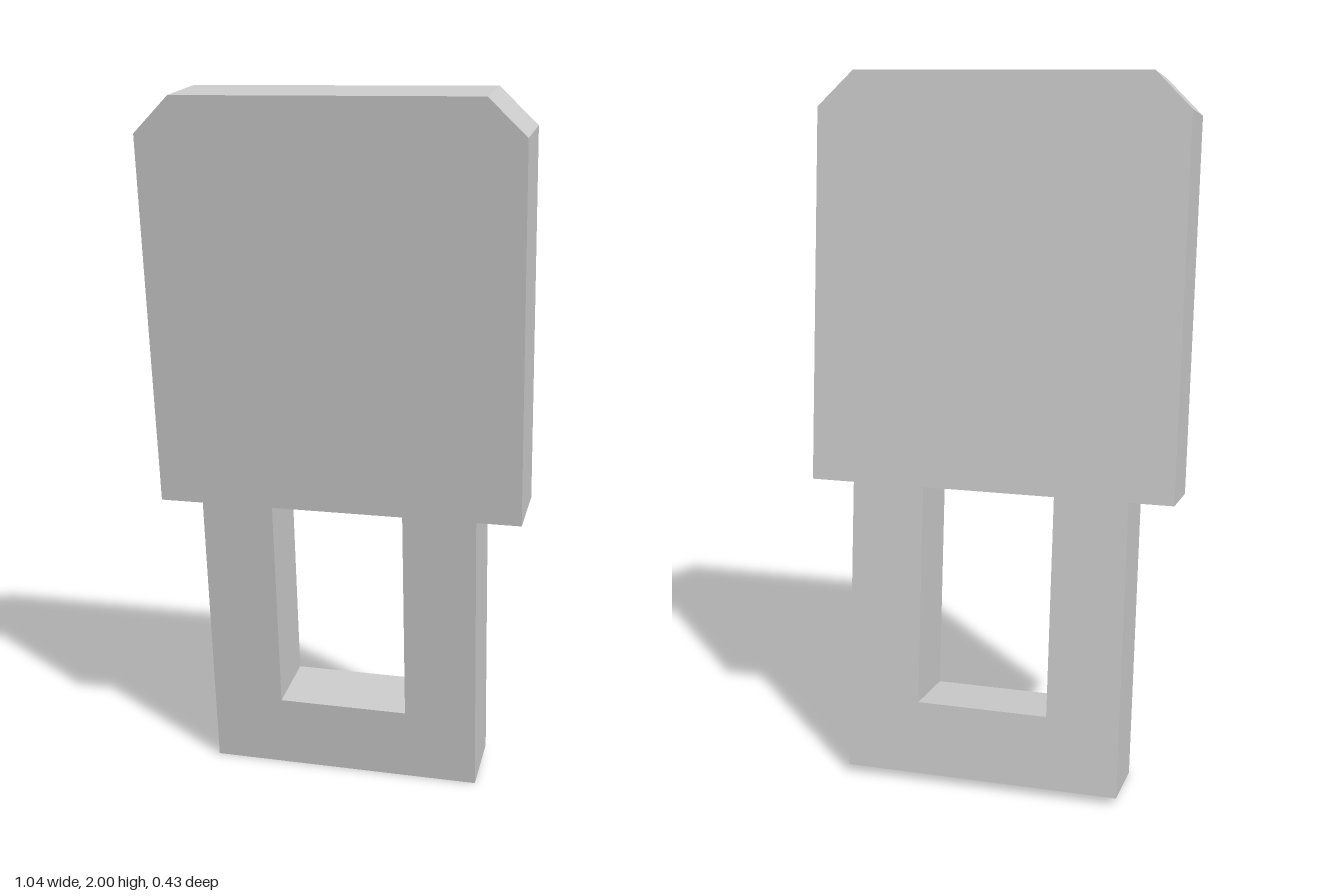
import * as THREE from 'three';

const TILT = 0.113, LENGTH = 1.989, THICK = 0.208;
const SHOULDER = 0.84; // height where the wide panel meets the narrow base

// Mirrors a right-hand profile (bottom to top) into a closed outline
function mirrored(Type, half) {
  const left = half.map(([x, y]) => [-x, y]).reverse();
  return new Type([...half, ...left].map(([x, y]) => new THREE.Vector2(x, y)));
}

export function createModel() {
  const group = new THREE.Group();
  group.name = 'leaningPanel';

  // Wide panel with clipped top corners on a narrower base
  const outline = mirrored(THREE.Shape, [
    [0.397, 0], [0.397, SHOULDER], [0.522, SHOULDER],
    [0.522, LENGTH - 0.1], [0.419, LENGTH],
  ]);

  // Rectangular window through the base
  outline.holes.push(mirrored(THREE.Path, [[0.189, 0.212], [0.189, SHOULDER]]));

  const geometry = new THREE.ExtrudeGeometry(outline, { depth: THICK, bevelEnabled: false });
  geometry.translate(0, 0, -THICK);

  // Lean forward, resting on the lower front edge
  geometry.rotateX(TILT);
  geometry.translate(0, 0, (THICK * Math.cos(TILT) - LENGTH * Math.sin(TILT)) / 2);

  const panel = new THREE.Mesh(
    geometry,
    new THREE.MeshStandardMaterial({ color: 0xcccccc, flatShading: true })
  );
  panel.name = 'panelWithWindow';
  group.add(panel);
  return group;
}
